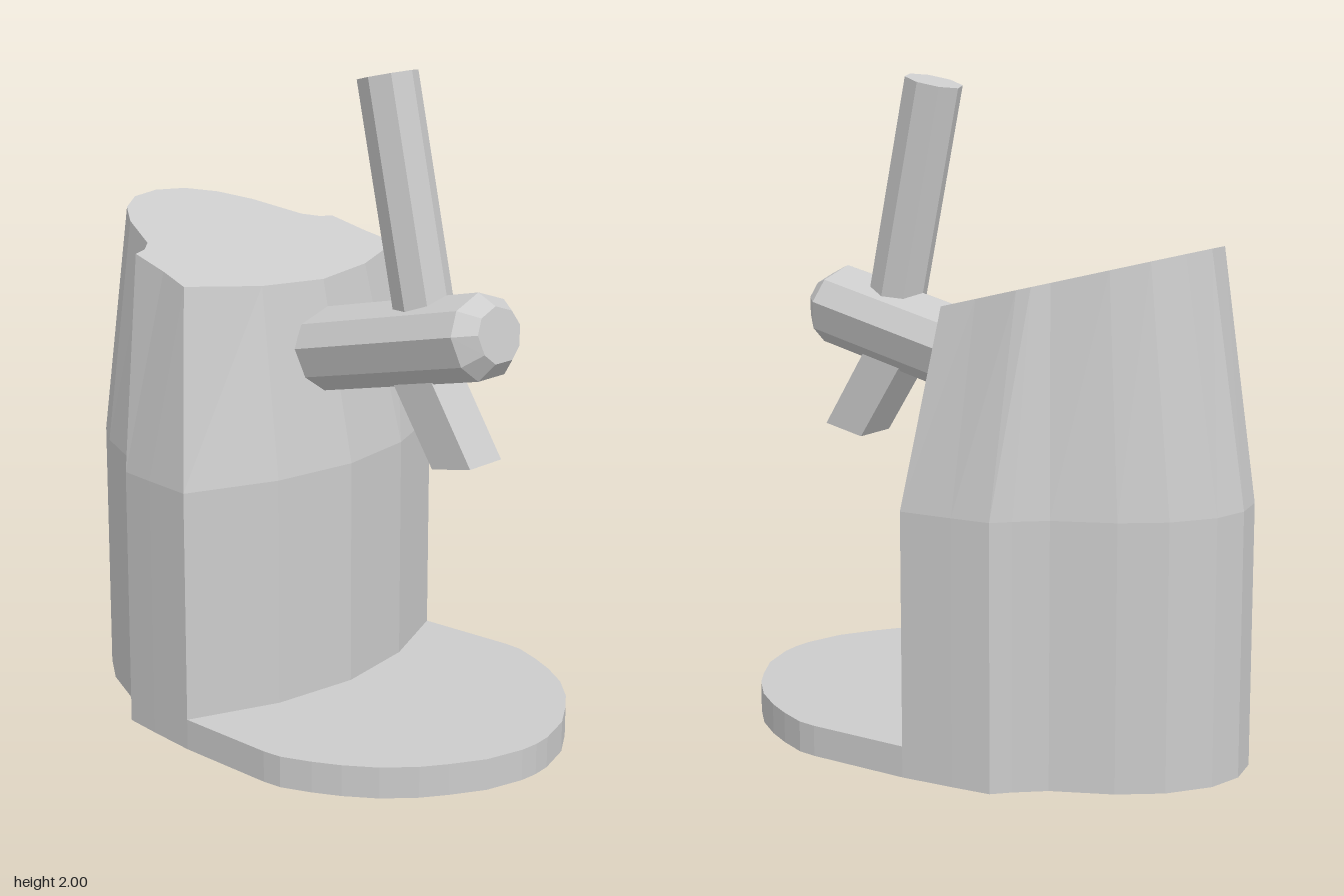
import * as THREE from 'three';

const material = new THREE.MeshStandardMaterial({ color: 0xcccccc, flatShading: true, side: THREE.DoubleSide });

// Mirrors a half outline [x, halfWidth] (from +x tip to -x tip) into a closed loop
function mirrored(half) {
  const back = half.slice(1, -1).reverse().map(([x, w]) => [x, -w]);
  return [...half, ...back];
}

// Skins a stack of { outline, y } sections; y is a number or a function of x
function loft(name, sections) {
  const count = sections[0].outline.length;
  const positions = [];
  const index = [];
  for (const { outline, y } of sections) {
    for (const [x, v] of outline) positions.push(x, typeof y === 'function' ? y(x) : y, -v);
  }
  for (let s = 0; s < sections.length - 1; s++) {
    for (let i = 0; i < count; i++) {
      const a = s * count + i;
      const b = s * count + (i + 1) % count;
      index.push(a, b, b + count, a, b + count, a + count);
    }
  }
  const cap = (s, flip) => {
    const points = sections[s].outline.map(([x, v]) => new THREE.Vector2(x, v));
    for (const [a, b, c] of THREE.ShapeUtils.triangulateShape(points, [])) {
      const o = s * count;
      index.push(o + a, o + (flip ? c : b), o + (flip ? b : c));
    }
  };
  cap(0, true);
  cap(sections.length - 1, false);
  const indexed = new THREE.BufferGeometry();
  indexed.setAttribute('position', new THREE.Float32BufferAttribute(positions, 3));
  indexed.setIndex(index);
  const geometry = indexed.toNonIndexed();
  geometry.computeVertexNormals();
  const mesh = new THREE.Mesh(geometry, material);
  mesh.name = name;
  return mesh;
}

export function createModel() {
  const model = new THREE.Group();
  model.name = 'dispenser';
  const baseHeight = 0.095;

  // Rounded left side shared by the base and the body
  const leftSide = [
    [-0.035, 0.56], [-0.2, 0.54], [-0.32, 0.523], [-0.365, 0.475], [-0.445, 0.405],
    [-0.615, 0.32], [-0.73, 0.23], [-0.815, 0.11], [-0.84, 0],
  ];

  // Base plate with a round tray on the right
  const base = mirrored([
    [0.84, 0], [0.835, 0.06], [0.8, 0.18], [0.74, 0.28], [0.69, 0.35], [0.61, 0.43],
    [0.52, 0.49], [0.44, 0.53], [0.35, 0.565], [0.29, 0.57], ...leftSide,
  ]);
  model.add(loft('base', [{ outline: base, y: 0 }, { outline: base, y: baseHeight }]));

  // Body: straight below, tapered above, with a sloping top
  const lower = mirrored([[0.12, 0], [0.08, 0.28], ...leftSide]);
  const upper = mirrored([
    [0.005, 0], [-0.03, 0.23], [-0.115, 0.467], [-0.22, 0.447], [-0.35, 0.435],
    [-0.365, 0.385], [-0.4, 0.34], [-0.55, 0.27], [-0.64, 0.2], [-0.7, 0.11], [-0.72, 0],
  ]);
  model.add(loft('body', [
    { outline: lower, y: baseHeight },
    { outline: lower, y: 0.8 },
    { outline: upper, y: (x) => 1.356 - 0.262 * x },
  ]));

  // Tap barrel: flattened nine-sided tube with a chamfered end
  const tilt = 0.215;
  const barrelOutline = mirrored([
    [0.122, 0], [0.122, 0.06], [0.07, 0.125], [-0.02, 0.15], [-0.088, 0.108], [-0.124, 0],
  ]);
  const endOutline = barrelOutline.map(([x, v]) => [x * 0.65, v * 0.64]);
  const barrel = loft('tapBarrel', [
    { outline: barrelOutline, y: 0 },
    { outline: barrelOutline, y: 0.606 },
    { outline: endOutline, y: 0.66 },
  ]);
  barrel.position.set(0.03, 1.148, 0);
  barrel.rotation.z = tilt - Math.PI / 2;
  model.add(barrel);

  // Handle: eight-sided bar standing on the barrel
  const length = 0.72;
  const handleGeometry = new THREE.CylinderGeometry(0.093, 0.093, length, 8);
  handleGeometry.scale(1, 1, 0.92);
  handleGeometry.translate(0, -length / 2, 0);
  const handle = new THREE.Mesh(handleGeometry, material);
  handle.name = 'tapHandle';
  handle.position.set(0.252, 1.985, 0);
  handle.rotation.z = tilt;
  model.add(handle);

  // Nozzle: slanted bar below the barrel
  const side = new THREE.Shape([
    new THREE.Vector2(0.49, 0.87), new THREE.Vector2(0.63, 0.897),
    new THREE.Vector2(0.435, 1.205), new THREE.Vector2(0.285, 1.185),
  ]);
  const nozzleGeometry = new THREE.ExtrudeGeometry(side, { depth: 0.144, bevelEnabled: false });
  nozzleGeometry.translate(0, 0, -0.077);
  const nozzle = new THREE.Mesh(nozzleGeometry, material);
  nozzle.name = 'nozzle';
  model.add(nozzle);

  return model;
}
